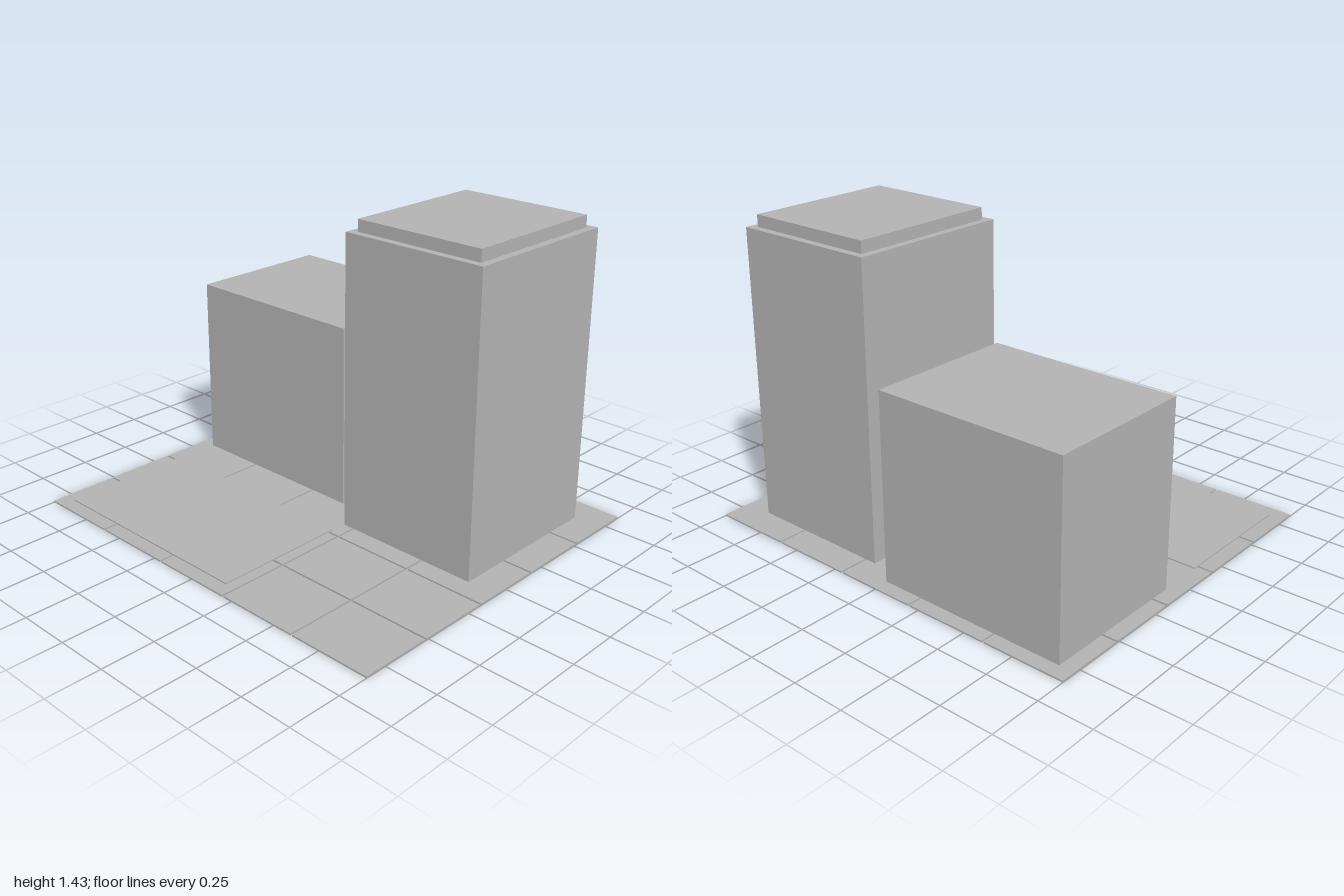
import * as THREE from 'three';

export function createModel() {
  const group = new THREE.Group();
  const grey = new THREE.MeshStandardMaterial({ color: 0xb2b2b2 });
  grey.name = 'concreteGrey';

  // Box given by its lower and upper limits on each axis
  const block = (name, [x0, x1], [y0, y1], [z0, z1], parent = group) => {
    const mesh = new THREE.Mesh(new THREE.BoxGeometry(x1 - x0, y1 - y0, z1 - z0), grey);
    mesh.name = name;
    mesh.position.set((x0 + x1) / 2, (y0 + y1) / 2, (z0 + z1) / 2);
    parent.add(mesh);
  };

  // Pavement: five by five tiles with narrow open joints
  const pavement = new THREE.Group();
  pavement.name = 'pavement';
  group.add(pavement);
  const count = 5, gap = 0.01, ground = 0.008, halfX = 1, halfZ = 0.855;
  const width = (2 * halfX - gap * (count - 1)) / count;
  const depth = (2 * halfZ - gap * (count - 1)) / count;
  for (let i = 0; i < count; i++) {
    for (let j = 0; j < count; j++) {
      const x = -halfX + i * (width + gap);
      const z = -halfZ + j * (depth + gap);
      block('pavingTile', [x, x + width], [0, ground], [z, z + depth], pavement);
    }
  }

  // Raised plaza slab at the front
  block('plazaSlab', [-0.93, 0.145], [ground, 0.014], [0.145, 0.788]);

  // Low wide building
  block('lowBuilding', [-0.93, 0], [ground, 0.88], [-0.787, -0.072]);

  // Tower with a set-back roof
  block('tower', [0.145, 0.86], [ground, 1.38], [-0.715, 0.072]);
  block('towerRoof', [0.181, 0.824], [1.38, 1.435], [-0.68, 0.036]);

  return group;
}
